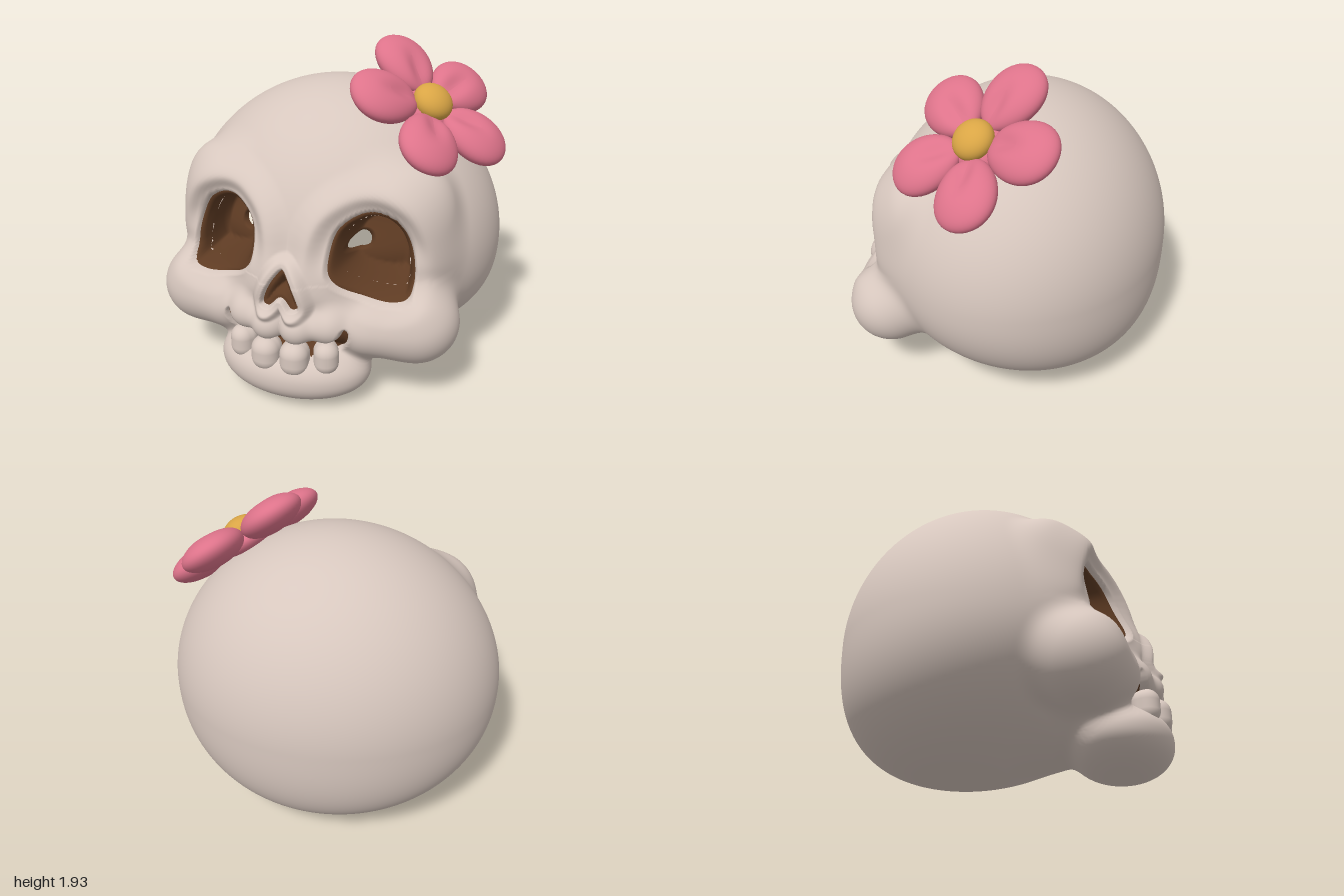
import * as THREE from 'three';
import { RoundedBoxGeometry } from 'three/addons/geometries/RoundedBoxGeometry.js';

const mat = (name, color, side = THREE.FrontSide) => {
  const m = new THREE.MeshStandardMaterial({ color, side });
  m.name = name;
  return m;
};

// smooth step from a to b (a may be larger than b)
const ss = (a, b, x) => {
  const t = Math.min(1, Math.max(0, (x - a) / (b - a)));
  return t * t * (3 - 2 * t);
};
const smin = (a, b, k) => {
  const h = Math.max(k - Math.abs(a - b), 0) / k;
  return Math.min(a, b) - h * h * k * 0.25;
};

// closed smooth outline in the front plane
const outline = (pts) =>
  new THREE.CatmullRomCurve3(pts.map(([x, y]) => new THREE.Vector3(x, y, 0)), true).getPoints(60).slice(0, -1);
const mirrored = (half) => [...half, ...half.filter(([x]) => x > 0).reverse().map(([x, y]) => [-x, y])];

const EYE = outline([[.212, .87], [.245, 1.03], [.35, 1.115], [.46, 1.13], [.58, 1.07], [.65, .94],
  [.677, .77], [.66, .67], [.58, .642], [.44, .657], [.3, .71], [.23, .78]]);
const NOSE = outline(mirrored([[0, .83], [.05, .78], [.1, .68], [.108, .625], [.065, .612], [0, .665]]));
const MOUTH = outline(mirrored([[0, .44], [.08, .415], [.165, .435], [.25, .425], [.31, .46], [.345, .52],
  [.372, .49], [.355, .41], [.29, .34], [.15, .31], [0, .31]]));

// signed distance to an outline, negative inside
function distance(poly, x, y) {
  let d = Infinity, inside = false;
  for (let i = 0, j = poly.length - 1; i < poly.length; j = i++) {
    const a = poly[i], b = poly[j], ex = b.x - a.x, ey = b.y - a.y, wx = x - a.x, wy = y - a.y;
    const t = Math.min(1, Math.max(0, (wx * ex + wy * ey) / (ex * ex + ey * ey + 1e-12)));
    d = Math.min(d, Math.hypot(wx - ex * t, wy - ey * t));
    if ((a.y > y) !== (b.y > y) && x < (ex * (y - a.y)) / ey + a.x) inside = !inside;
  }
  return inside ? -d : d;
}

// rounded mass: elliptical in plan, exponent n in height
function mass(x, y, z, c, r, n = 2) {
  const q = Math.hypot((x - c[0]) / r[0], (z - c[2]) / r[2]);
  const k = Math.pow(Math.pow(q, n) + Math.pow(Math.abs(y - c[1]) / r[1], n), 1 / n);
  return (k - 1) * Math.min(...r);
}

// skull volume as blended masses
function skullField(x, y, z) {
  const ax = Math.abs(x), t = Math.max(0, (0.75 - y) / 0.72);
  let d = y > 0.75
    ? mass(x, y, z, [0, .75, -.1], [1, .94, .87], 1.94)
    : mass(x, y, z, [0, .75, -.1 - .19 * Math.min(1, t * t)], [1, .72, .87], 2.28);
  d = smin(d, mass(ax, y, z, [.46, .94, .32], [.38, .43, .28], 2.7), .05);  // eye surround
  d = smin(d, mass(ax, y, z, [.66, .48, .51], [.255, .24, .25]), .1);       // cheek
  d = smin(d, mass(ax, y, z, [.42, .47, .54], [.27, .21, .27]), .09);       // inner cheek
  d = smin(d, mass(x, y, z, [0, .58, .55], [.38, .35, .3]), .08);           // upper jaw
  d = smin(d, mass(x, y, z, [0, .34, .25], [.46, .235, .4]), .08);          // underside
  d = smin(d, mass(x, y, z, [0, .185, .67], [.455, .185, .3], 2.2), .06);   // lower jaw
  d = smin(d, mass(ax, y, z, [.085, .49, .85], [.095, .09, .085]), .08);    // gums
  d = smin(d, mass(ax, y, z, [.25, .5, .78], [.09, .09, .09]), .08);
  return d;
}

// first surface hit, moving from `from` along `dir`
function hit(from, dir, length) {
  const f = (s) => skullField(from.x + dir.x * s, from.y + dir.y * s, from.z + dir.z * s);
  let s = 0;
  while (s < length && f(s) > 0) s += 0.025;
  let lo = s - 0.025, hi = s;
  for (let i = 0; i < 12; i++) {
    const m = (lo + hi) / 2;
    if (f(m) > 0) lo = m; else hi = m;
  }
  return from.clone().addScaledVector(dir, hi);
}

// raised rims around eyes and nose, with a hollow under the brow
function relief(x, y, z) {
  const e = distance(EYE, Math.abs(x), y), n = distance(NOSE, x, y);
  const brow = .045 * ss(.24, .1, e) * ss(.5, .85, y);
  const hollow = .06 * ss(.1, 0, e) * (.25 + .75 * ss(.75, 1, y));
  return ss(0, .25, z) * (brow - hollow + .05 * ss(.08, .03, n));
}

// wells behind eyes, nose and mouth
function wells(x, y) {
  const w = (poly, px, depth) => depth * ss(.005, -.04, distance(poly, px, y));
  return w(EYE, Math.abs(x), .13) + w(NOSE, x, .2) + w(MOUTH, x, .16);
}

function skullGeometry(rings = 184, segs = 288) {
  const centre = new THREE.Vector3(0, .6, .1), pos = [], index = [], open = [];
  for (let j = 0; j <= rings; j++) {
    const th = Math.PI * Math.pow(j / rings, 1.4);
    for (let i = 0; i < segs; i++) {
      const ph = (i / segs) * Math.PI * 2;
      const dir = new THREE.Vector3(Math.sin(th) * Math.cos(ph), Math.sin(th) * Math.sin(ph), Math.cos(th));
      const p = hit(centre.clone().addScaledVector(dir, 1.5), dir.clone().negate(), 1.5);
      open.push(p.z > 0.3 && distance(EYE, Math.abs(p.x), p.y) < -.045);
      if (p.z > 0.02) p.z += relief(p.x, p.y, p.z) - (p.z > 0.3 ? wells(p.x, p.y) : 0);
      pos.push(p.x, p.y, p.z);
    }
  }
  // the bone is open inside the eyes, where the sockets take over
  const face = (a, b, c) => { if (!(open[a] && open[b] && open[c])) index.push(a, b, c); };
  for (let j = 0; j < rings; j++) {
    for (let i = 0; i < segs; i++) {
      const a = j * segs + i, b = j * segs + ((i + 1) % segs), c = a + segs, d = b + segs;
      if (j > 0) face(a, d, b);
      if (j < rings - 1) face(a, c, d);
    }
  }
  return finish(pos, index);
}

function finish(pos, index) {
  const g = new THREE.BufferGeometry();
  g.setAttribute('position', new THREE.Float32BufferAttribute(pos, 3));
  g.setIndex(index);
  g.computeVertexNormals();
  return g;
}

// depth of a dark bowl: follows the bone just under the rim, then sinks
function bowlZ(poly, side, depth, x, y) {
  const p = hit(new THREE.Vector3(x, y, 1.1), new THREE.Vector3(0, 0, -1), 1);
  return p.z + relief(x, y, p.z) - .035 - depth * ss(-.02, -.1, distance(poly, x * side, y));
}

// dark bowl from an outline in to a round hole (radius 0 closes it) with a short canal
function bowlGeometry(poly, side, depth, hx, hy, hr, loops = 14) {
  const n = poly.length, pos = [], index = [];
  const c = poly.reduce((s, p) => s.add(p), new THREE.Vector3()).divideScalar(n);
  for (let j = 0; j <= loops; j++) {
    const t = Math.min(1, j / (loops - 1)), canal = j === loops ? .05 : 0;
    for (let i = 0; i < n; i++) {
      const ox = c.x + (poly[i].x - c.x) * 1.07, oy = c.y + (poly[i].y - c.y) * 1.07;
      const a = Math.atan2(oy - hy, ox - hx);
      const x = side * (ox + (hx + hr * Math.cos(a) - ox) * t), y = oy + (hy + hr * Math.sin(a) - oy) * t;
      pos.push(x, y, bowlZ(poly, side, depth, x, y) - canal);
      const p = j * n + i, q = j * n + ((i + 1) % n);
      if (j < loops) index.push(p, q, p + n, q, q + n, p + n);
    }
  }
  return finish(pos, index);
}

// petal along +x, thin in y, with a crease toward the flower's middle
function petalGeometry() {
  const g = new THREE.SphereGeometry(1, 40, 28), p = g.attributes.position;
  for (let i = 0; i < p.count; i++) {
    const x = p.getX(i), y = p.getY(i), z = p.getZ(i) * .19 * (.94 + .1 * x);
    const crease = y > 0 ? .04 * y * Math.exp(-((z / .06) ** 2)) * ss(.5, -.6, x) : 0;
    p.setXYZ(i, x * .21, y * .095 - crease, z);
  }
  g.computeVertexNormals();
  return g;
}

export function createModel() {
  const model = new THREE.Group();
  model.name = 'skullWithFlower';
  const bone = mat('bone', 0xd7c7be), dark = mat('darkBrown', 0x5e3b23, THREE.DoubleSide);
  const pink = mat('petalPink', 0xdd738a), gold = mat('gold', 0xd9a545);
  const add = (parent, name, geometry, material, x = 0, y = 0, z = 0) => {
    const m = new THREE.Mesh(geometry, material);
    m.name = name;
    m.position.set(x, y, z);
    parent.add(m);
    return m;
  };

  add(model, 'skull', skullGeometry(), bone);
  add(model, 'noseCavity', bowlGeometry(NOSE, 1, .12, 0, .7, 0), dark);
  add(model, 'mouthCavity', bowlGeometry(MOUTH, 1, .02, 0, .38, 0), dark);

  for (const side of [1, -1]) {
    const label = side > 0 ? 'left' : 'right';
    add(model, label + 'EyeSocket', bowlGeometry(EYE, side, .25, side > 0 ? .32 : .395, .888, .051), dark);

    // teeth
    const inner = new RoundedBoxGeometry(.165, .2, .17, 5, .075);
    const outer = new RoundedBoxGeometry(.14, .19, .16, 5, .068);
    add(model, label + 'InnerTooth', inner, bone, side * .085, .325, .88).rotation.y = side * .1;
    add(model, label + 'OuterTooth', outer, bone, side * .25, .335, .825).rotation.y = side * .45;
  }

  // flower: local y is the flower's axis
  const flower = new THREE.Group();
  flower.name = 'flower';
  const axis = new THREE.Vector3(.56, .76, .28).normalize();
  const u = new THREE.Vector3(.25, -.19, -.05);
  u.addScaledVector(axis, -u.dot(axis)).normalize();
  flower.quaternion.setFromRotationMatrix(
    new THREE.Matrix4().makeBasis(u, axis, new THREE.Vector3().crossVectors(u, axis)));
  flower.position.set(.568, 1.58, -.017);
  const petal = petalGeometry();
  for (let i = 0; i < 5; i++) {
    const a = (i / 5) * Math.PI * 2;
    add(flower, 'petal', petal, pink, Math.cos(a) * .308, 0, -Math.sin(a) * .308).rotation.y = a;
  }
  add(flower, 'flowerBase', new THREE.SphereGeometry(1, 24, 16), pink, 0, -.04, 0).scale.set(.15, .07, .15);
  add(flower, 'flowerCentre', new THREE.SphereGeometry(1, 32, 24), gold, 0, .03, 0).scale.set(.12, .085, .12);
  model.add(flower);
  return model;
}
